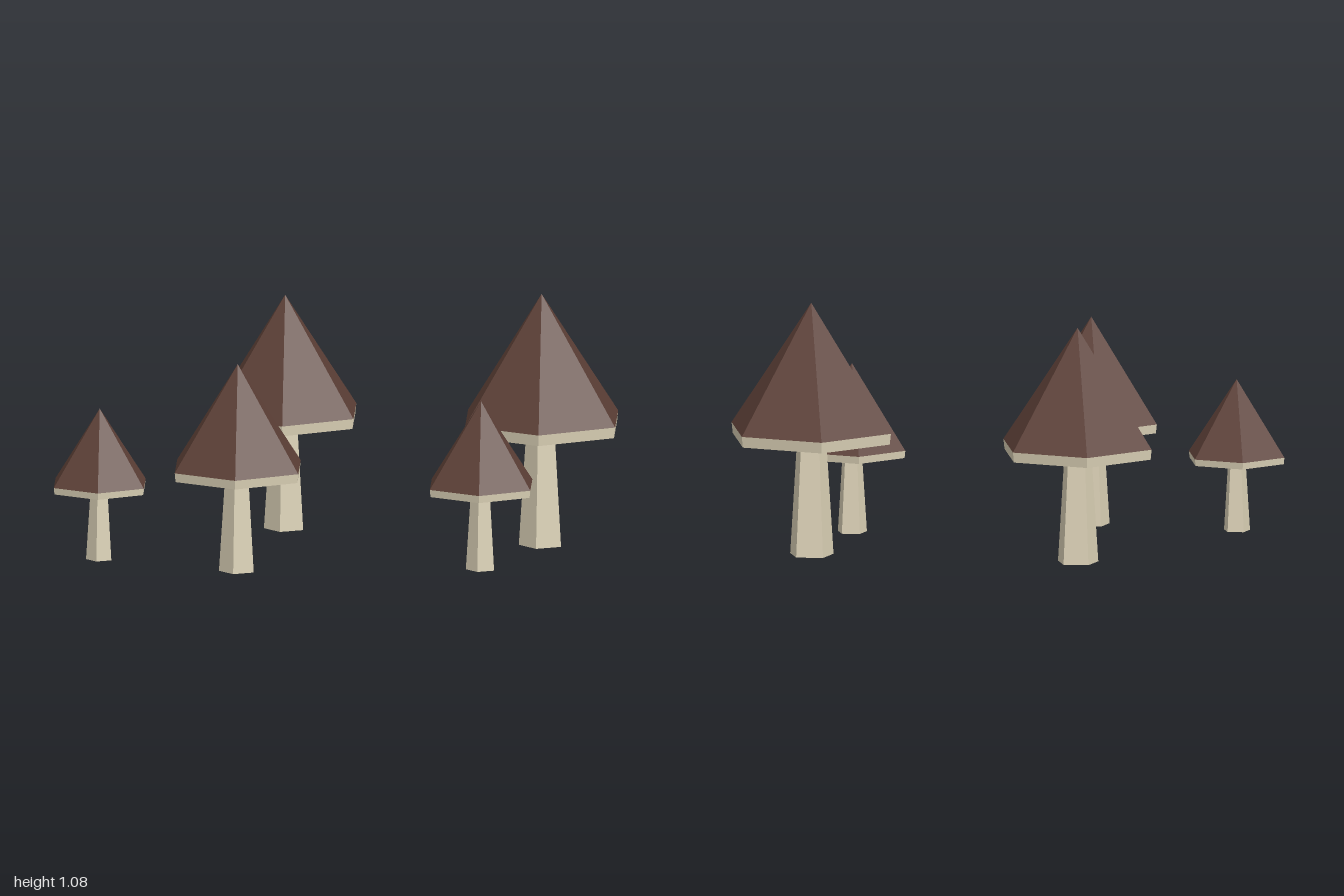
import * as THREE from 'three';

const capBrown = new THREE.MeshStandardMaterial({ color: 0x5d4037, flatShading: true, side: THREE.DoubleSide });
capBrown.name = 'cap brown';
const stemCream = new THREE.MeshStandardMaterial({ color: 0xddd3b8, flatShading: true, side: THREE.DoubleSide });
stemCream.name = 'stem cream';

// Tapered prism between two heights, with its first corner pointing along +x
function prism(name, rTop, rBottom, y0, y1, sides, open, material) {
  const geometry = new THREE.CylinderGeometry(rTop, rBottom, y1 - y0, sides, 1, open, Math.PI / 2);
  geometry.translate(0, (y0 + y1) / 2, 0);
  const mesh = new THREE.Mesh(geometry, material);
  mesh.name = name;
  return mesh;
}

// One mushroom of unit height
function mushroom() {
  const group = new THREE.Group();
  group.name = 'mushroom';
  group.add(
    // five-sided stem running up inside the hollow cap
    prism('stem', 0.038, 0.0895, 0, 0.8, 5, false, stemCream),
    // pale band around the cap edge
    prism('capRim', 0.339, 0.334, 0.46, 0.503, 6, true, stemCream),
    // hollow six-sided cap
    prism('cap', 0, 0.339, 0.503, 1, 6, true, capBrown)
  );
  return group;
}

export function createModel() {
  const model = new THREE.Group();
  model.name = 'mushroomCluster';
  // x, z, height
  const spots = [
    [0.63, -0.56, 1.075],
    [-0.47, -0.285, 1.0],
    [-0.16, 0.585, 0.885],
    [0.69, 0.015, 0.72],
    [-0.782, 0.685, 0.645],
  ];
  for (const [x, z, height] of spots) {
    const m = mushroom();
    m.position.set(x, 0, z);
    m.scale.setScalar(height);
    model.add(m);
  }
  return model;
}
